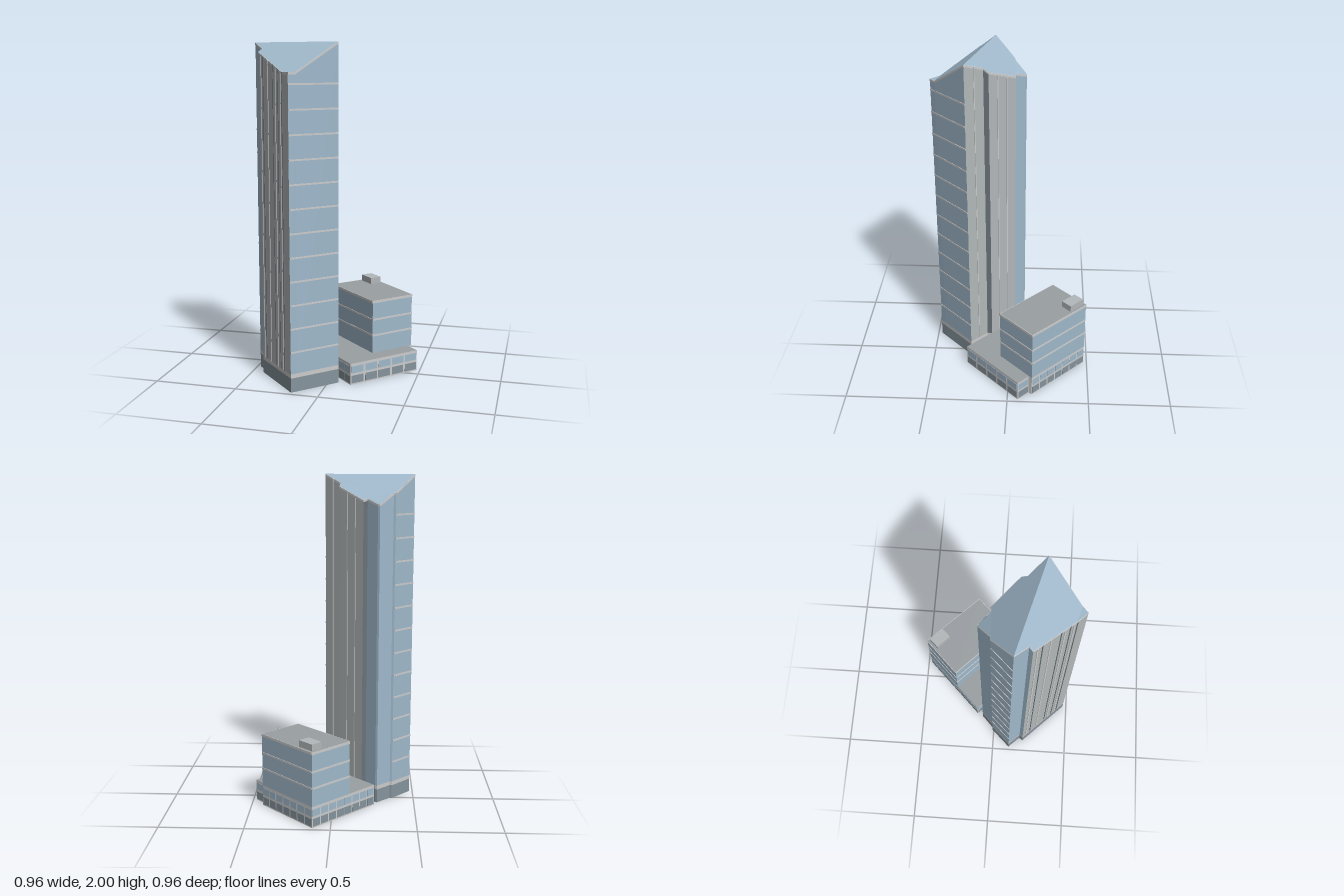
import * as THREE from 'three';
import { mergeGeometries } from 'three/addons/utils/BufferGeometryUtils.js';

const mat = (color) => new THREE.MeshStandardMaterial({ color, side: THREE.DoubleSide, flatShading: true });
const M = {
  glass: mat(0xa0b9cb), panel: mat(0xb3b8ba), trim: mat(0xcccccc),
  base: mat(0x86949d), dark: mat(0x6b757c), roof: mat(0x9a9fa3),
};

// Tower plan [x, z], clockwise from the west corner
const PLAN = [
  [-0.48, 0.11], [-0.365, -0.01], [-0.352, -0.008], [-0.272, -0.083], [-0.26, -0.076],
  [-0.2, -0.015], [-0.175, -0.02], [-0.032, 0.125], [-0.037, 0.155], [0.06, 0.255],
  [-0.135, 0.445], [-0.167, 0.475], [-0.22, 0.42], [-0.43, 0.203], [-0.412, 0.182],
];

// Gable roof height: ridge from the west corner to the east corner, flat at the low tip
function roofY(x, z) {
  const [ax, az] = PLAN[0], [bx, bz] = PLAN[9];
  const dx = bx - ax, dz = bz - az;
  const d = Math.abs((z - az) * dx - (x - ax) * dz) / Math.hypot(dx, dz);
  return Math.max(1.832, 2 - 0.715 * d);
}

const height = (y, p) => (typeof y === 'function' ? y(p[0], p[1]) : y);

// Vertical quad between two plan points
function quad(p, q, y0, y1) {
  const v = (a, y) => [a[0], height(y, a), a[1]];
  const [qb, pb, pt, qt] = [v(q, y0), v(p, y0), v(p, y1), v(q, y1)];
  const g = new THREE.BufferGeometry();
  g.setAttribute('position', new THREE.Float32BufferAttribute([qb, pb, pt, qb, pt, qt].flat(), 3));
  g.computeVertexNormals();
  return g;
}

// Closed loop of walls
const walls = (ring, y0, y1) =>
  mergeGeometries(ring.map((p, i) => quad(p, ring[(i + 1) % ring.length], y0, y1)));

// Flat or sloping top over a plan outline
function lid(ring, y) {
  const shape = new THREE.Shape(ring.map(([x, z]) => new THREE.Vector2(x, -z)));
  const g = new THREE.ShapeGeometry(shape).rotateX(-Math.PI / 2).toNonIndexed();
  g.deleteAttribute('uv');
  const pos = g.attributes.position;
  for (let i = 0; i < pos.count; i++) pos.setY(i, height(y, [pos.getX(i), pos.getZ(i)]));
  g.computeVertexNormals();
  return g;
}

// Thin raised strip on the wall p-q, covering t0..t1 of its length
function strip(p, q, t0, t1, y0, y1, out = 0.003) {
  const len = Math.hypot(q[0] - p[0], q[1] - p[1]);
  const n = [(q[1] - p[1]) / len * out, -(q[0] - p[0]) / len * out];
  const at = (t) => [p[0] + (q[0] - p[0]) * t, p[1] + (q[1] - p[1]) * t];
  const a = at(t0), b = at(t1);
  const ring = [a, [a[0] + n[0], a[1] + n[1]], [b[0] + n[0], b[1] + n[1]], b];
  return mergeGeometries([walls(ring, y0, y1), lid(ring, y1)]);
}

function add(group, name, geos, material) {
  const mesh = new THREE.Mesh(mergeGeometries([geos].flat()), material);
  mesh.name = name;
  group.add(mesh);
}

function buildTower() {
  const g = new THREE.Group();
  g.name = 'tower';
  const edge = (i) => [PLAN[i], PLAN[(i + 1) % PLAN.length]];

  // Walls, sorted by cladding
  const cladding = { glass: [0, 1, 2, 3, 4, 9, 10, 13, 14], panel: [6, 8, 11, 12], dark: [5, 7] };
  for (const [kind, list] of Object.entries(cladding))
    add(g, kind + 'Walls', list.map((i) => quad(...edge(i), 0.11, roofY)), M[kind]);
  add(g, 'towerBase', walls(PLAN, 0, 0.085), M.base);
  add(g, 'baseBand', walls(PLAN, 0.085, 0.11), M.trim);

  // Roof slopes and flat tip
  add(g, 'towerRoof', [
    lid(PLAN.slice(0, 10), roofY),
    lid([PLAN[9], PLAN[10], ...PLAN.slice(12), PLAN[0]], roofY),
    lid(PLAN.slice(10, 13), roofY),
  ], M.glass);
  add(g, 'roofRim', PLAN.map((_, i) =>
    strip(...edge(i), 0, 1, (x, z) => roofY(x, z) - 0.012, roofY, 0.002)), M.trim);

  // Horizontal floor bands on the two glazed faces
  const bands = [];
  for (let k = 1; k <= 12; k++) {
    const y = 0.1 + 0.139 * k;
    bands.push(strip(...edge(0), 0, 1, y - 0.005, y + 0.005));
    bands.push(strip(PLAN[9], PLAN[11], 0, 1, y - 0.005, y + 0.005));
  }
  add(g, 'floorBands', bands, M.trim);

  // Vertical ribs on the panelled faces
  const ribs = (p, q, list, w) => list.map((t) => strip(p, q, t - w, t + w, 0.11, roofY));
  const south = [PLAN[11], PLAN[13]];
  add(g, 'lightRibs', [
    ...ribs(...south, [0.25, 0.42, 0.68, 0.92], 0.012),
    ...ribs(...edge(6), [0.33, 0.67], 0.014),
    ...ribs(...edge(8), [0.5], 0.02),
  ], M.trim);
  add(g, 'darkRibs', ribs(...south, [0.19, 0.32, 0.49, 0.83], 0.007), M.dark);
  return g;
}

function buildAnnex() {
  const g = new THREE.Group();
  g.name = 'annex';
  const W = [-0.253, -0.12], N = [0.105, -0.478], NE = [0.43, -0.15];
  const inner = [0.415, -0.13], E = [0.48, -0.065], S = [0.14, 0.275];

  // Low podium with open underside
  const podium = [W, N, NE, inner, E, S];
  add(g, 'podiumWalls', walls(podium, 0, 0.13), M.trim);
  add(g, 'podiumRoof', lid(podium, 0.13), M.roof);

  // Two rows of windows round the podium
  const lower = [], upper = [];
  for (const [p, q, n] of [[W, N, 8], [N, NE, 7], [inner, E, 1], [E, S, 5], [S, W, 8]]) {
    for (let i = 0; i < n; i++) {
      const t0 = (i + 0.07) / n, t1 = (i + 0.93) / n;
      lower.push(strip(p, q, t0, t1, 0.008, 0.055, 0.002));
      upper.push(strip(p, q, t0, t1, 0.07, 0.113, 0.002));
    }
  }
  add(g, 'lowerWindows', lower, M.base);
  add(g, 'upperWindows', upper, M.glass);

  // Upper block with floor bands
  const block = [N, NE, [0.225, 0.055], [-0.105, -0.27]];
  add(g, 'blockWalls', walls(block, 0.13, 0.46), M.glass);
  add(g, 'blockRoof', lid(block, 0.46), M.roof);
  const bands = [];
  block.forEach((p, i) => {
    const q = block[(i + 1) % 4];
    for (const [y0, y1] of [[0.235, 0.246], [0.335, 0.346], [0.445, 0.46]])
      bands.push(strip(p, q, 0, 1, y0, y1));
  });
  add(g, 'blockBands', bands, M.trim);

  // Plant room on the roof
  const plant = [[0.054, -0.405], [0.105, -0.457], [0.185, -0.38], [0.132, -0.327]];
  add(g, 'plantRoom', [walls(plant, 0.46, 0.5), lid(plant, 0.5)], M.panel);
  return g;
}

export function createModel() {
  const model = new THREE.Group();
  model.name = 'officeTower';
  model.add(buildTower(), buildAnnex());
  return model;
}
